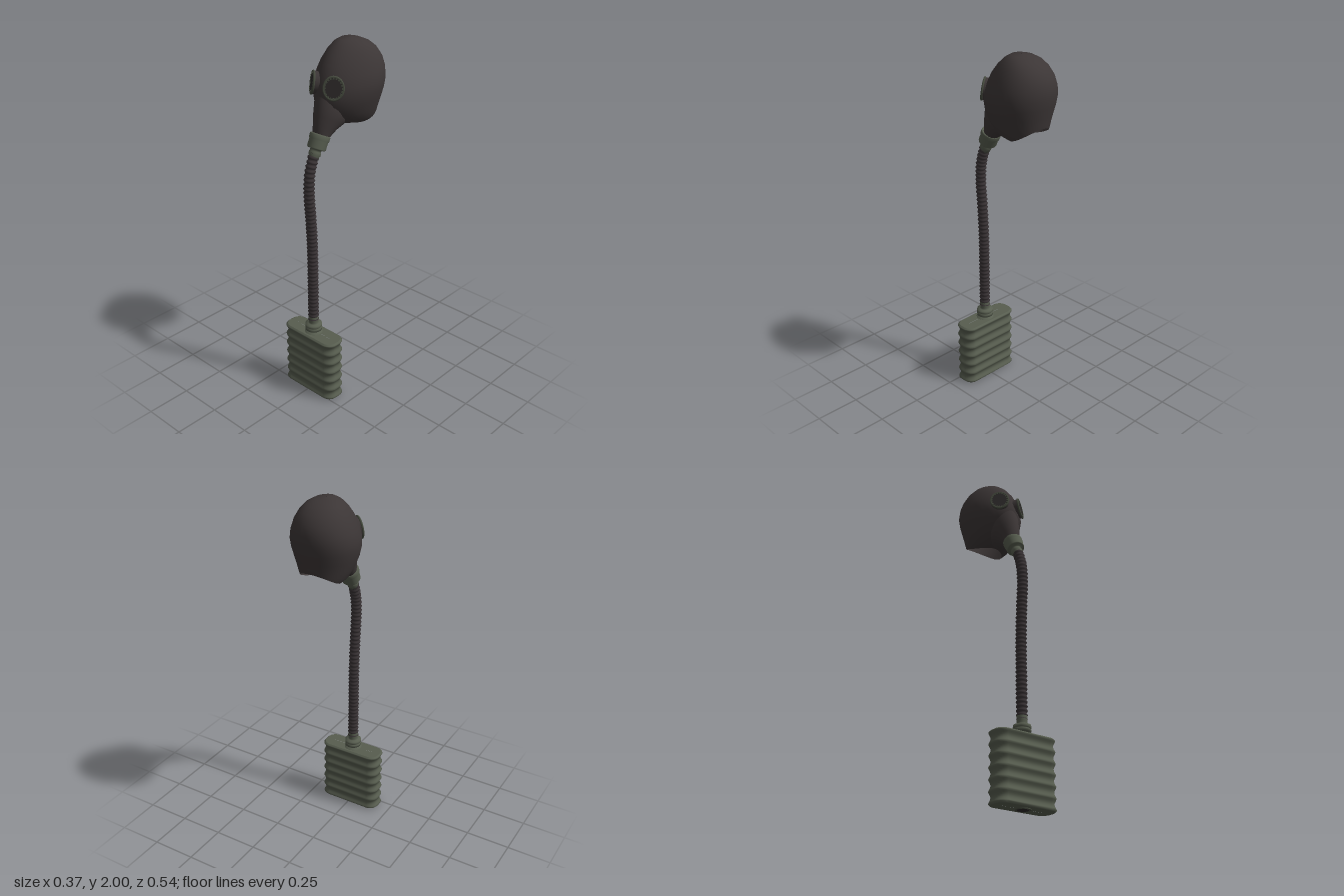
import * as THREE from 'three';

const mat = (name, color, side = THREE.FrontSide) => {
  const m = new THREE.MeshStandardMaterial({ color, side });
  m.name = name;
  return m;
};

// Skin a list of equal-length closed rings, ordered from top to bottom.
function loft(rings) {
  const n = rings[0].length, index = [];
  for (let i = 0; i < rings.length - 1; i++) {
    for (let j = 0; j < n; j++) {
      const k = (j + 1) % n;
      const a = i * n + j, b = a + n, c = (i + 1) * n + k, d = i * n + k;
      index.push(a, b, c, a, c, d);
    }
  }
  const g = new THREE.BufferGeometry().setFromPoints(rings.flat());
  g.setIndex(index);
  g.computeVertexNormals();
  return g;
}

// Ring through a front and a back point [z, y] with half width w;
// egg narrows the front, sag lowers the sides.
function eggRing([fz, fy, bz, by, w, sag = 0], egg, n = 36) {
  return Array.from({ length: n }, (_, j) => {
    const a = (j / n) * Math.PI * 2, c = Math.cos(a), s = Math.sin(a);
    return new THREE.Vector3(
      w * s * (1 - egg * c),
      (fy + by) / 2 + ((fy - by) / 2) * c - sag * s * s,
      (fz + bz) / 2 + ((fz - bz) / 2) * c);
  });
}

// Rounded rectangle ring for the canister
function boxRing(y, inset, hx = 0.185, hz = 0.068, r = 0.055) {
  const pts = [];
  [[1, 1], [1, -1], [-1, -1], [-1, 1]].forEach(([sx, sz], q) => {
    for (let k = 0; k <= 6; k++) {
      const a = (q + k / 6) * Math.PI / 2;
      pts.push(new THREE.Vector3(
        sx * (hx - r) + (r - inset) * Math.sin(a), y,
        sz * (hz - r) + (r - inset) * Math.cos(a)));
    }
  });
  return pts;
}

const lathe = (pts) =>
  new THREE.LatheGeometry(pts.map(([r, y]) => new THREE.Vector2(r, y)), 28);

export function createModel() {
  const rubber = mat('dark rubber', 0x3c3636, THREE.DoubleSide);
  const hoseRubber = mat('hose rubber', 0x383234);
  const olive = mat('olive paint', 0x575d4f);
  const rimMetal = mat('dark olive rim', 0x454a3e);
  const glass = mat('dark lens', 0x2d2a2a);

  const model = new THREE.Group();
  model.name = 'maskWithCanister';
  const add = (name, geo, material, parent = model) => {
    const m = new THREE.Mesh(geo, material);
    m.name = name;
    parent.add(m);
    return m;
  };

  // Hood: rings from the crown to the open neck at the lower back
  const hood = [
    [-0.085, 2.0, -0.09, 2.0, 0.001],
    [-0.03, 1.995, -0.145, 1.993, 0.055],
    [0.005, 1.975, -0.19, 1.973, 0.09],
    [0.045, 1.94, -0.228, 1.943, 0.118],
    [0.085, 1.89, -0.258, 1.9, 0.143],
    [0.11, 1.84, -0.271, 1.85, 0.161],
    [0.127, 1.79, -0.271, 1.8, 0.171],
    [0.135, 1.74, -0.262, 1.75, 0.168],
    [0.13, 1.69, -0.25, 1.7, 0.155],
    [0.1, 1.635, -0.244, 1.67, 0.138, 0.01],
    [0.04, 1.585, -0.24, 1.652, 0.12, 0.02],
    [-0.03, 1.568, -0.238, 1.645, 0.103, 0.025],
  ];
  add('hood', loft(hood.map((r) => eggRing(r, 0.15))), rubber);

  // Snout running from the face down to the hose fitting
  const snout = [
    [0.11, 1.8, -0.09, 1.64, 0.07],
    [0.143, 1.72, -0.04, 1.58, 0.085],
    [0.158, 1.65, 0.0, 1.562, 0.072],
    [0.166, 1.6, 0.04, 1.548, 0.058],
    [0.17, 1.565, 0.08, 1.524, 0.049],
    [0.171, 1.545, 0.1, 1.508, 0.045],
  ];
  add('snout', loft(snout.map((r) => eggRing(r, 0.05))), rubber);

  // Eyepieces with toothed rims
  for (const s of [1, -1]) {
    const eye = new THREE.Group();
    eye.name = s > 0 ? 'leftEyepiece' : 'rightEyepiece';
    eye.position.set(s * 0.073, 1.795, 0.113);
    eye.rotation.set(-0.15, s * 0.67, 0, 'YXZ');
    eye.scale.set(0.93, 1.06, 1);
    model.add(eye);
    add('eyeSocket', new THREE.CylinderGeometry(0.055, 0.057, 0.04, 28)
      .rotateX(Math.PI / 2).translate(0, 0, -0.022), rubber, eye);
    add('lens', new THREE.CylinderGeometry(0.051, 0.051, 0.006, 28)
      .rotateX(Math.PI / 2), glass, eye);
    add('eyeRim', new THREE.TorusGeometry(0.054, 0.006, 8, 32), rimMetal, eye);
    for (let i = 0; i < 20; i++) {
      const tooth = add('rimTooth', new THREE.BoxGeometry(0.008, 0.009, 0.004), rimMetal, eye);
      const a = (i / 20) * Math.PI * 2;
      tooth.position.set(0.048 * Math.cos(a), 0.048 * Math.sin(a), 0.004);
      tooth.rotation.z = a;
    }
  }

  // Tilted fitting between snout and hose
  const fitting = add('snoutFitting', lathe([
    [0, -0.09], [0.028, -0.09], [0.028, -0.075], [0.032, -0.07], [0.032, -0.055],
    [0.029, -0.05], [0.03, -0.04], [0.046, -0.038], [0.05, -0.032], [0.05, 0.008],
    [0.054, 0.012], [0.054, 0.034], [0.05, 0.04], [0, 0.04],
  ]), olive);
  fitting.position.set(0, 1.505, 0.15);
  fitting.rotation.x = -0.445;

  // Corrugated hose swept from the fitting down to the canister
  const path = new THREE.CatmullRomCurve3([
    [1.45, 0.178], [1.42, 0.192], [1.34, 0.216], [1.23, 0.222], [1.1, 0.213],
    [0.915, 0.204], [0.7, 0.203], [0.46, 0.203],
  ].map(([y, z]) => new THREE.Vector3(0, y, z)));
  const ribs = 42, steps = ribs * 4, hose = [];
  for (let i = 0; i <= steps; i++) {
    const p = path.getPointAt(i / steps), t = path.getTangentAt(i / steps);
    const r = 0.0275 + 0.0035 * Math.cos((i / 4) * Math.PI * 2);
    hose.push(Array.from({ length: 16 }, (_, j) => {
      const a = (j / 16) * Math.PI * 2, c = r * Math.cos(a);
      return new THREE.Vector3(r * Math.sin(a), p.y + t.z * c, p.z - t.y * c);
    }));
  }
  add('hose', loft(hose), hoseRubber);

  // Canister fitting
  add('canisterFitting', lathe([
    [0.05, 0.372], [0.05, 0.38], [0.036, 0.384], [0.036, 0.39], [0.046, 0.393],
    [0.047, 0.406], [0.042, 0.409], [0.042, 0.413], [0.047, 0.416], [0.046, 0.43],
    [0.03, 0.433], [0.026, 0.44], [0.028, 0.452], [0.028, 0.488], [0.024, 0.493], [0, 0.493],
  ]), olive).position.z = 0.203;

  // Ribbed canister; doubled rings keep the rims sharp
  const top = 0.378, bottom = 0.005, rings = [
    boxRing(top, 0.0549, 0.185, 0.0555), boxRing(top, 0.01), boxRing(top, 0.01), boxRing(top - 0.006, 0.002),
  ];
  const grooves = 6, sub = 8;
  for (let i = 0; i <= grooves * sub; i++) {
    const f = i / (grooves * sub);
    const inset = 0.011 * Math.pow(Math.abs(Math.sin(f * grooves * Math.PI)), 1.2);
    rings.push(boxRing(top - 0.01 - f * (top - bottom - 0.018), inset));
  }
  rings.push(boxRing(bottom, 0.008), boxRing(bottom, 0.008), boxRing(bottom, 0.0549, 0.185, 0.0555));
  add('canister', loft(rings), olive).position.z = 0.203;

  // Air inlet under the canister
  const inlet = add('inletRing', new THREE.CylinderGeometry(0.04, 0.04, 0.006, 28), rimMetal);
  inlet.position.set(0, 0.004, 0.203);
  const hole = add('inletHole', new THREE.CylinderGeometry(0.03, 0.03, 0.004, 28), glass);
  hole.position.set(0, 0.002, 0.203);

  return model;
}
